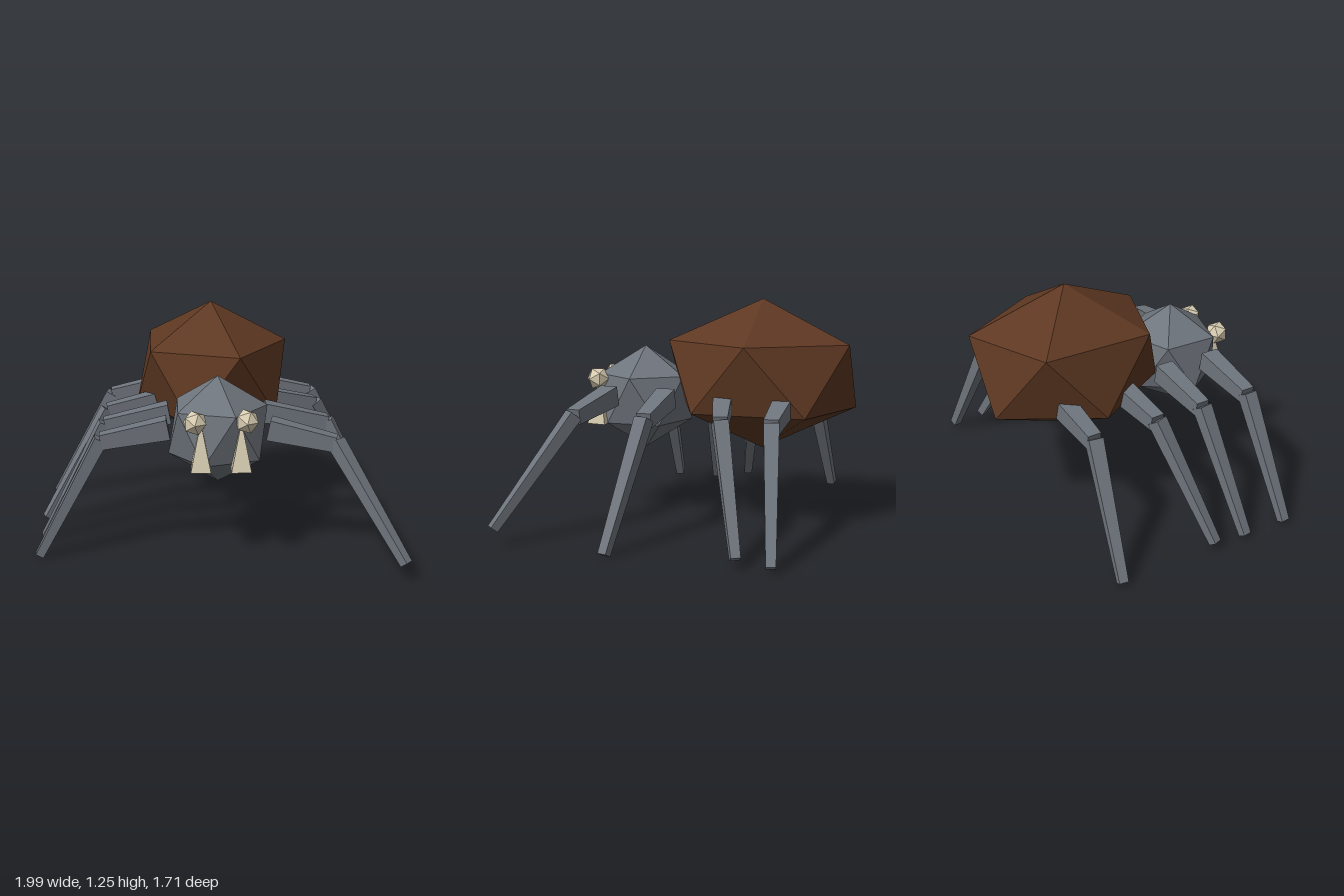
import * as THREE from 'three';

const mat = (name, color) => {
  const m = new THREE.MeshStandardMaterial({ color, flatShading: true });
  m.name = name;
  return m;
};

// Flat-sided geometry from points and outward-facing triangles
function facets(points, tris) {
  const g = new THREE.BufferGeometry();
  g.setAttribute('position', new THREE.Float32BufferAttribute(tris.flatMap(i => points[i]), 3));
  g.computeVertexNormals();
  return g;
}

// Twenty-sided ball: two poles on y and two staggered rings of five
function gem(rx, ry, rz) {
  const pts = [[0, ry, 0]];
  for (const [y, shift] of [[1, 0], [-1, Math.PI / 5]]) {
    for (let i = 0; i < 5; i++) {
      const a = i * Math.PI * 0.4 + shift;
      pts.push([rx * 0.894 * Math.cos(a), y * ry * 0.447, rz * 0.894 * Math.sin(a)]);
    }
  }
  pts.push([0, -ry, 0]);
  const tris = [];
  for (let i = 0; i < 5; i++) {
    const u = 1 + i, v = 1 + (i + 1) % 5, l = 6 + i, m = 6 + (i + 1) % 5;
    tris.push(0, v, u, u, v, l, v, m, l, 11, l, m);
  }
  return facets(pts, tris);
}

// Tapered square bar from p to q; each size is [width, height]
function bar(p, q, sizeP, sizeQ) {
  const a = new THREE.Vector3(...p), b = new THREE.Vector3(...q);
  const dir = b.clone().sub(a);
  const length = dir.length();
  const g = new THREE.BoxGeometry(1, 1, length);
  const pos = g.attributes.position;
  for (let i = 0; i < pos.count; i++) {
    const s = pos.getZ(i) > 0 ? sizeQ : sizeP;
    pos.setXY(i, pos.getX(i) * s[0], pos.getY(i) * s[1]);
  }
  g.lookAt(dir);
  g.translate(...a.add(b).multiplyScalar(0.5).toArray());
  g.computeVertexNormals();
  return g;
}

export function createModel() {
  const model = new THREE.Group();
  const grey = mat('slate grey', 0x6f757d);
  const brown = mat('dark brown', 0x5e3822);
  const cream = mat('bone cream', 0xd8cdb2);

  const add = (name, geo, material, parent = model) => {
    const mesh = new THREE.Mesh(geo, material);
    mesh.name = name;
    parent.add(mesh);
    return mesh;
  };

  // Body
  const abdomen = add('abdomen', gem(0.492, 0.418, 0.593), brown);
  abdomen.position.set(-0.01, 0.847, -0.345);
  abdomen.rotation.y = 0.035;
  const head = add('head', gem(0.298, 0.295, 0.295), grey);
  head.position.set(0.015, 0.692, 0.345);
  head.rotation.y = 0.02;

  // Eyes and fangs
  for (const [side, ex, ey, ez, fx] of [['right', -0.108, 0.797, 0.59, -0.078], ['left', 0.16, 0.802, 0.582, 0.132]]) {
    const eye = add(side + 'Eye', gem(0.066, 0.066, 0.066), cream);
    eye.position.set(ex, ey, ez);
    eye.rotation.x = Math.PI / 2;
    add(side + 'Fang', bar([fx, 0.54, 0.59], [fx, 0.785, 0.583], [0.105, 0.105], [0.006, 0.006]), cream);
  }

  // Legs: hip, knee and foot points
  const legs = {
    leftFrontLeg: [[0.285, 0.727, 0.455], [0.63, 0.66, 0.515], [0.97, 0.108, 0.825]],
    leftSecondLeg: [[0.275, 0.727, 0.125], [0.63, 0.66, 0.115], [0.97, 0.03, 0.2]],
    leftThirdLeg: [[0.27, 0.727, -0.2], [0.6, 0.66, -0.29], [0.935, 0.065, -0.475]],
    leftBackLeg: [[0.24, 0.727, -0.54], [0.6, 0.66, -0.56], [0.94, 0.04, -0.655]],
    rightFrontLeg: [[-0.25, 0.727, 0.435], [-0.605, 0.66, 0.45], [-0.95, 0.028, 0.485]],
    rightSecondLeg: [[-0.25, 0.727, 0.135], [-0.605, 0.66, 0.155], [-0.95, 0.03, 0.225]],
    rightThirdLeg: [[-0.26, 0.727, -0.175], [-0.61, 0.66, -0.13], [-0.965, 0.063, 0.018]],
    rightBackLeg: [[-0.26, 0.727, -0.52], [-0.61, 0.66, -0.505], [-0.97, 0.03, -0.548]],
  };
  for (const [name, [hip, knee, foot]] of Object.entries(legs)) {
    const leg = new THREE.Group();
    leg.name = name;
    add('upperLeg', bar(hip, knee, [0.105, 0.11], [0.078, 0.08]), grey, leg);
    add('lowerLeg', bar([knee[0], knee[1] + 0.01, knee[2]], foot, [0.08, 0.07], [0.05, 0.045]), grey, leg);
    model.add(leg);
  }
  return model;
}
